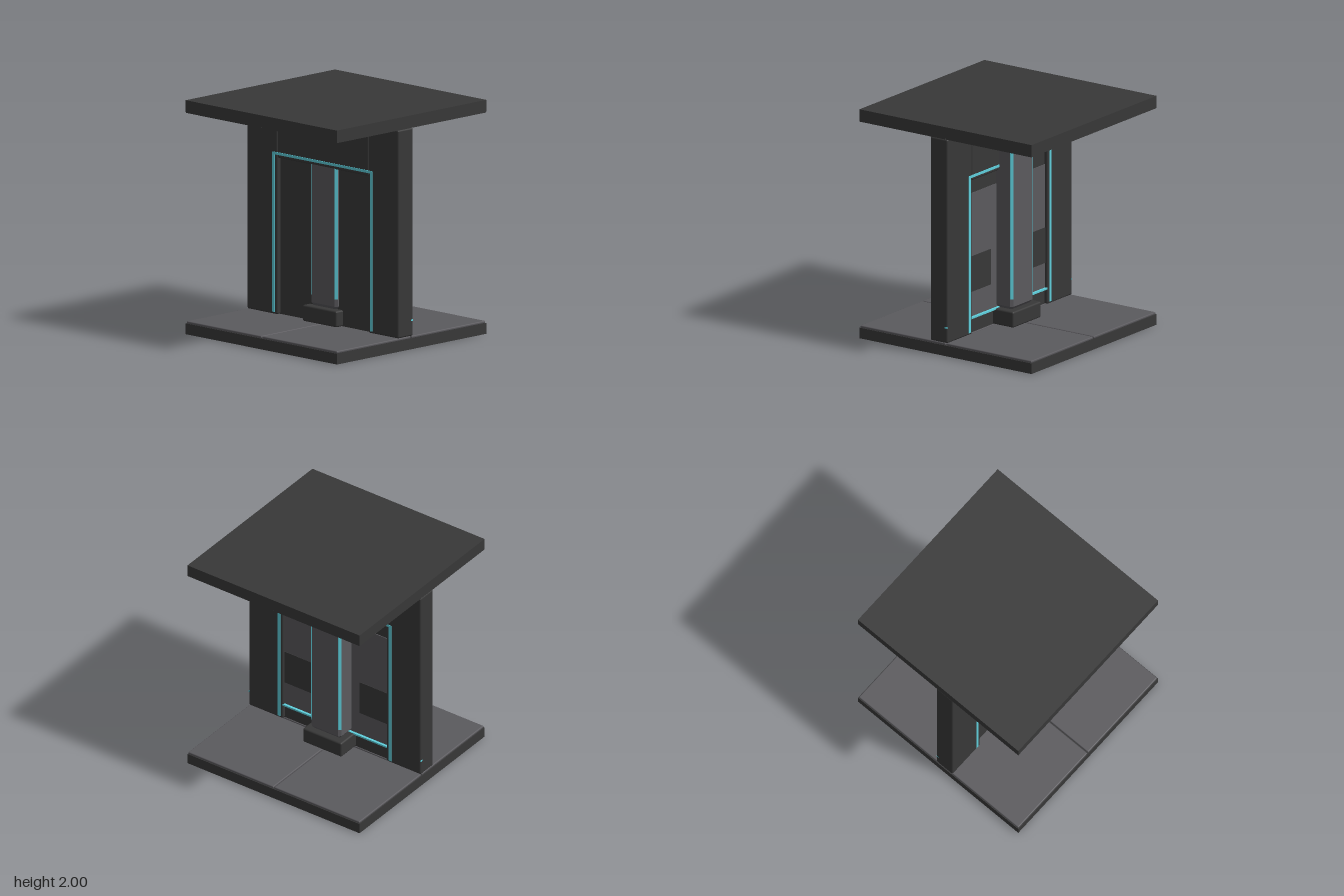
import * as THREE from 'three';
import { RoundedBoxGeometry } from 'three/addons/geometries/RoundedBoxGeometry.js';

export function createModel() {
  const root = new THREE.Group();
  const material = (name, color) => {
    const m = new THREE.MeshStandardMaterial({ color });
    m.name = name;
    return m;
  };
  const dark = material('charcoal', 0x383838);
  const grey = material('mid grey', 0x5b5a5e);
  const pale = material('pale grey', 0x7a848a);
  const cyan = material('cyan glow', 0x5fd0dd);

  const add = (name, geometry, mat, x = 0, y = 0, z = 0) => {
    const mesh = new THREE.Mesh(geometry, mat);
    mesh.name = name;
    mesh.position.set(x, y, z);
    root.add(mesh);
    return mesh;
  };
  // Box given by its limits, with an optional rounded edge
  const block = (name, mat, [x0, x1], [y0, y1], [z0, z1], r = 0) => {
    const s = [x1 - x0, y1 - y0, z1 - z0];
    const g = r ? new RoundedBoxGeometry(...s, 2, r) : new THREE.BoxGeometry(...s);
    return add(name, g, mat, (x0 + x1) / 2, (y0 + y1) / 2, (z0 + z1) / 2);
  };
  // Same box on the side s (+1 or -1) of an axis
  const side = (s, a, b) => (s > 0 ? [a, b] : [-b, -a]);

  // Floor and roof slabs, each faced with four tiles
  block('floorSlab', dark, [-0.89, 0.89], [0, 0.092], [-0.89, 0.89]);
  block('roofSlab', dark, [-0.89, 0.89], [1.9, 2], [-0.89, 0.89]);
  for (const sx of [-1, 1]) {
    for (const sz of [-1, 1]) {
      block('floorTile', grey, side(sx, 0.005, 0.885), [0.09, 0.112], side(sz, 0.005, 0.885), 0.008);
      block('ceilingTile', dark, side(sx, 0.004, 0.889), [1.892, 1.902], side(sz, 0.004, 0.889));
    }
  }

  // Wall: two pillars, lintel and recessed panels
  const wallZ = [-0.02, 0.16];
  block('lintel', dark, [-0.537, 0.537], [1.45, 1.892], [-0.018, 0.158], 0.015);
  for (const s of [-1, 1]) {
    block('wallPillar', dark, side(s, 0.535, 0.89), [0.112, 1.892], wallZ, 0.015);
    block('wallPanel', dark, side(s, 0.1, 0.54), [0.112, 1.47], [0.012, 0.12]);
    block('rearPanelFace', grey, side(s, 0.1, 0.535), [0.25, 1.33], [0.005, 0.013]);
    block('rearPanelPatch', dark, side(s, 0.24, 0.535), [0.47, 0.78], [0.001, 0.008]);
  }
  block('rearLightBar', cyan, [-0.891, 0.891], [0.24, 0.255], [-0.017, 0.008]);

  // Glowing frame on both faces of the wall
  for (const [z, name] of [[0.16, 'frontFrame'], [-0.02, 'rearFrame']]) {
    const depth = [z - 0.004, z + 0.004];
    block(name + 'Top', cyan, [-0.588, 0.588], [1.478, 1.5], depth);
    for (const s of [-1, 1]) {
      block(name + 'Side', cyan, side(s, 0.561, 0.588), [0.13, 1.478], depth);
    }
  }

  // Column with chamfered corners and bevelled ends
  const h = 0.135, c = 0.0083, k = h - c;
  const octagon = new THREE.Shape(
    [[h, -k], [h, k], [k, h], [-k, h], [-h, k], [-h, -k], [-k, -h], [k, -h]]
      .map(([x, y]) => new THREE.Vector2(x, y)));
  const shaft = new THREE.ExtrudeGeometry(octagon, {
    depth: 1.46, bevelEnabled: true, bevelSegments: 1, bevelSize: 0.02, bevelThickness: 0.025,
  });
  shaft.rotateX(-Math.PI / 2);
  add('columnShaft', shaft, grey, 0, 0.275, 0);

  // Light strips on the chamfers
  for (let i = 0; i < 4; i++) {
    const a = Math.PI / 4 + (i * Math.PI) / 2;
    const strip = add('columnLightStrip', new THREE.BoxGeometry(0.027, 1.33, 0.006), cyan,
      Math.sin(a) * 0.205, 1.005, Math.cos(a) * 0.205);
    strip.rotation.y = a;
  }

  // Column base, cap and ceiling plate
  block('columnBase', dark, [-0.2, 0.2], [0.112, 0.25], [-0.2, 0.2], 0.015);
  block('columnCap', dark, [-0.2, 0.2], [1.76, 1.86], [-0.2, 0.2], 0.015);
  block('ceilingPlate', dark, [-0.33, 0.33], [1.85, 1.895], [-0.33, 0.33], 0.008);
  block('ceilingPlateInset', pale, [-0.28, 0.28], [1.845, 1.852], [-0.28, 0.28]);

  return root;
}
